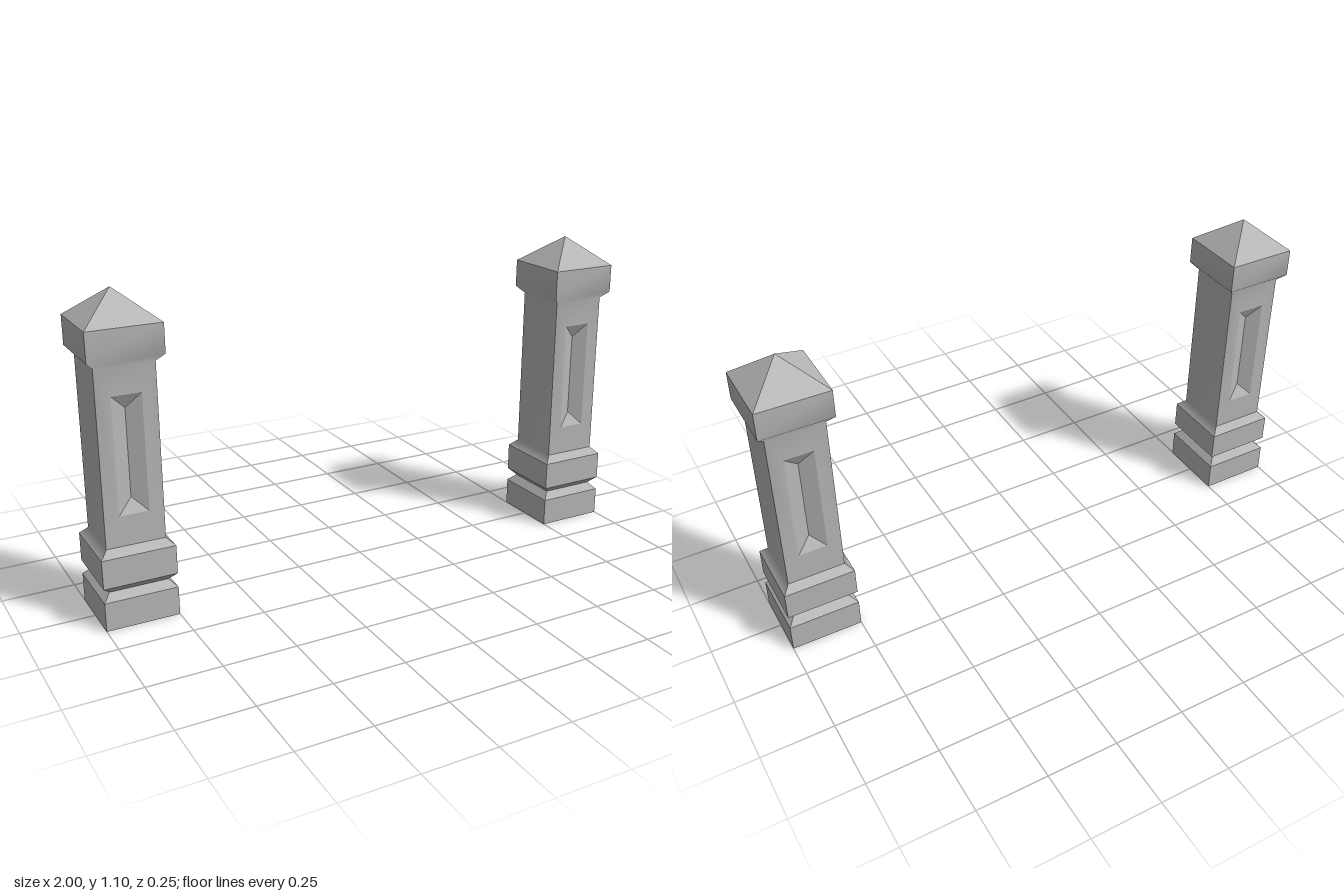
import * as THREE from 'three';
import { mergeGeometries } from 'three/addons/utils/BufferGeometryUtils.js';

const HALF = 0.125, NECK = 0.1; // half widths of the blocks and of the shaft

function build(points, index) {
  const g = new THREE.BufferGeometry();
  g.setAttribute('position', new THREE.Float32BufferAttribute(points.flat(), 3));
  g.setIndex(index);
  g.computeVertexNormals();
  return g;
}

// Front-facing strip through rows of [y, half width]; smooth inside, sharp at its ends.
// With a hole, the first band is a frame around the recess opening.
function strip(rows, hole) {
  const points = rows.flatMap(([y, r]) => [[-r, y, r], [r, y, r]]);
  const index = [];
  for (let i = 0; i < rows.length - 1; i++) {
    const a = 2 * i;
    if (i > 0 || !hole) index.push(a, a + 1, a + 3, a, a + 3, a + 2);
  }
  if (hole) {
    const outer = [0, 1, 3, 2], start = points.length;
    points.push(...hole);
    for (let i = 0; i < 4; i++) {
      const j = (i + 1) % 4;
      index.push(outer[i], outer[j], start + j, outer[i], start + j, start + i);
    }
  }
  return build(points, index);
}

// Opening of the recess on the shaft face, and the line at its bottom
const opening = [[-0.05, 0.38, NECK], [0.05, 0.38, NECK], [0.05, 0.78, NECK], [-0.05, 0.78, NECK]];
const low = [0, 0.43, NECK - 0.025], high = [0, 0.73, NECK - 0.025];

function recess() {
  const [a, b, c, d] = opening;
  return build([a, b, low, b, c, high, low, c, d, high, d, a, low, high],
    [0, 1, 2, 3, 4, 5, 3, 5, 6, 7, 8, 9, 10, 11, 12, 10, 12, 13]);
}

function around(pieces, turns) {
  return mergeGeometries(turns.flatMap(k => pieces.map(p => p.clone().rotateY(k * Math.PI / 2))));
}

export function createModel() {
  const stone = new THREE.MeshStandardMaterial({ color: 0xb8b8b8 });
  stone.name = 'grey stone';
  const model = new THREE.Group();
  model.name = 'pairOfPosts';

  // Two stacked base blocks with a V groove between them
  const levels = [[0, HALF], [0.1, HALF], [0.125, NECK], [0.15, HALF], [0.25, HALF]];
  const base = around(levels.slice(1).map((row, i) => strip([levels[i], row])), [0, 1, 2, 3]);
  const underside = new THREE.PlaneGeometry(2 * HALF, 2 * HALF).rotateX(Math.PI / 2);

  // Shaft flowing into the capital: plain at the sides, recessed at front and back
  const foot = [0.25, HALF];
  const upper = [[0.275, NECK], [0.875, NECK], [0.9, HALF], [1, HALF]];
  const plainFaces = around([strip([foot, ...upper])], [1, 3]);
  const recessedFaces = around([strip([foot, upper[0]]), strip(upper, opening)], [0, 2]);
  const recesses = around([recess()], [0, 2]);

  // Pyramid cap
  const cap = new THREE.ConeGeometry(HALF * Math.SQRT2, 0.1, 4, 1, true)
    .rotateY(Math.PI / 4).translate(0, 1.05, 0).toNonIndexed();
  cap.computeVertexNormals();

  const parts = { base, underside, plainFaces, recessedFaces, recesses, cap };
  for (const side of [-1, 1]) {
    const post = new THREE.Group();
    post.name = side > 0 ? 'leftPost' : 'rightPost';
    for (const [name, geometry] of Object.entries(parts)) {
      const mesh = new THREE.Mesh(geometry, stone);
      mesh.name = name;
      post.add(mesh);
    }
    post.position.x = side * 0.875;
    model.add(post);
  }
  return model;
}
